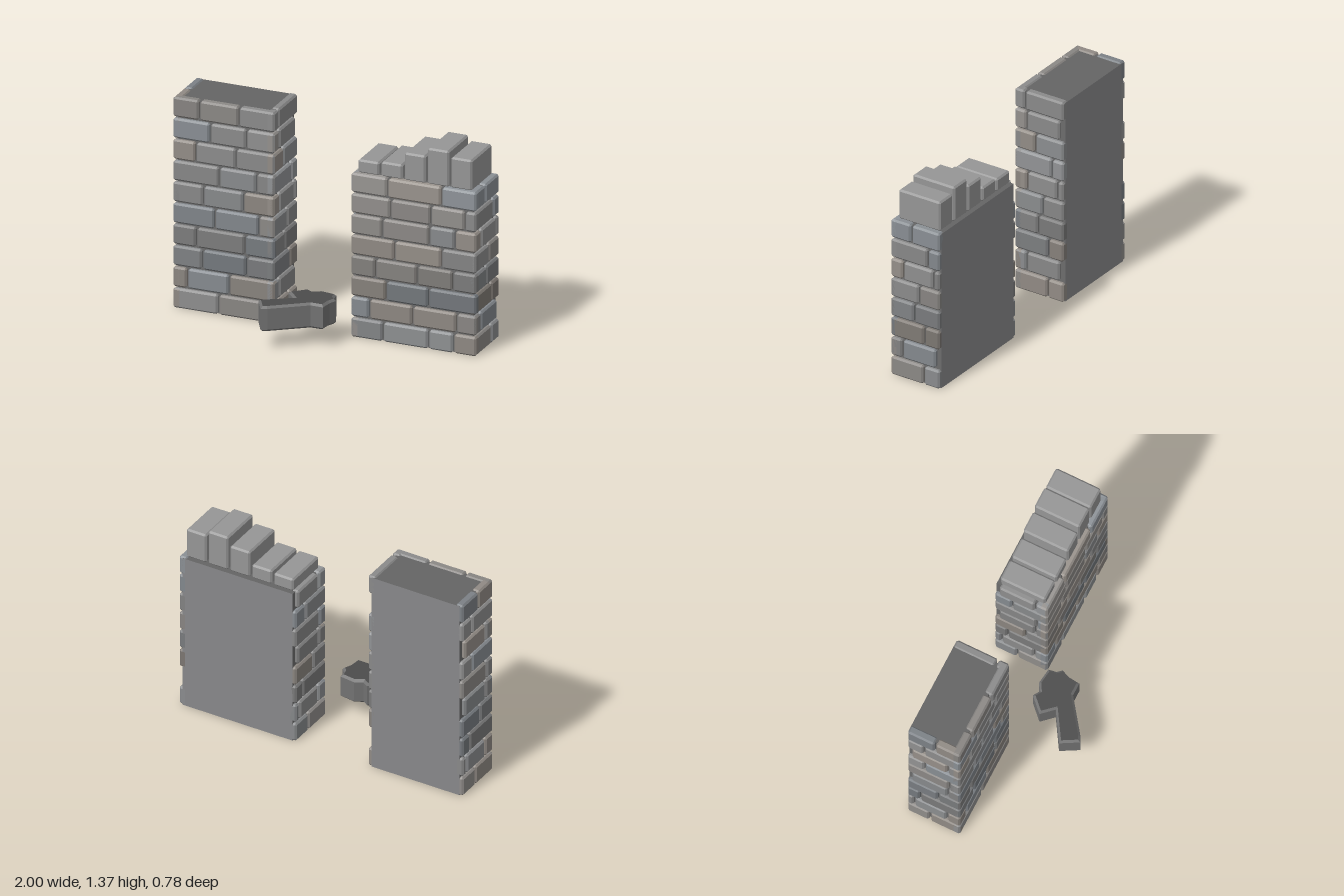
import * as THREE from 'three';
import { ConvexGeometry } from 'three/addons/geometries/ConvexGeometry.js';

const paint = (color) => new THREE.MeshStandardMaterial({ color, flatShading: true });
const groove = paint(0x6c6c6c), plain = paint(0x88888a), topShade = paint(0x646464);
const coping = paint(0x969696);
const slabFace = paint(0x4c4c4c), slabEdge = paint(0x727272);

const FRONT = -0.036, BACK = -0.39;
const BRICK_DEPTH = 0.055, INSET = 0.025, JOINT = 0.011, BEVEL = 0.011;

// Stone tints: neutral, bluish and brownish greys, with a shade per course
const tints = [0x8b8b8b, 0x8e8b88, 0x858a8f, 0x888888, 0x918b85, 0x8a8c8e];
const courseShades = [0.98, 0.97, 0.78, 0.83, 0.97, 0.98, 1.04, 1.08, 1.0, 0.95];

let seed = 7;
function random() {
  seed = (seed * 16807) % 2147483647;
  return seed / 2147483647;
}

function stone(row) {
  const tint = tints[Math.floor(random() * tints.length)];
  const material = paint(tint);
  material.color.multiplyScalar(courseShades[row] * (0.9 + 0.2 * random()));
  return material;
}

function addMesh(parent, name, geometry, material) {
  const mesh = new THREE.Mesh(geometry, material);
  mesh.name = name;
  parent.add(mesh);
  return mesh;
}

// Block with chamfered edges, given by its limits
function addBlock(parent, name, material, x0, x1, y0, y1, z0, z1) {
  const half = [(x1 - x0) / 2, (y1 - y0) / 2, (z1 - z0) / 2];
  const b = Math.min(BEVEL, ...half.map((h) => h * 0.6));
  const points = [];
  for (const sx of [-1, 1]) for (const sy of [-1, 1]) for (const sz of [-1, 1]) {
    for (let full = 0; full < 3; full++) {
      const c = half.map((h, i) => (i === full ? h : h - b));
      points.push(new THREE.Vector3(c[0] * sx, c[1] * sy, c[2] * sz));
    }
  }
  addMesh(parent, name, new ConvexGeometry(points), material)
    .position.set((x0 + x1) / 2, (y0 + y1) / 2, (z0 + z1) / 2);
}

// Mortar body, darker in the joints and on top
function addCore(parent, x0, x1, top) {
  const z1 = FRONT - INSET;
  const geometry = new THREE.BoxGeometry(x1 - x0 - 2 * INSET, top, z1 - BACK);
  addMesh(parent, 'mortarCore', geometry, [groove, groove, topShade, plain, groove, plain])
    .position.set((x0 + x1) / 2, top / 2, (z1 + BACK) / 2);
}

// Side courses from front to back: joints, then where the last brick ends
const sideCourses = [
  [-0.275, BACK], [-0.12, -0.36], [-0.28, BACK], [-0.205, BACK], [-0.24, BACK],
  [-0.125, -0.345, BACK], [-0.305, BACK], [-0.185, BACK], [-0.12, -0.36], [-0.11, BACK],
];

// Wall end with bricks on the front and both sides, plain at the back
function addPillar(parent, name, x0, x1, height, courses) {
  const pillar = new THREE.Group();
  pillar.name = name;
  parent.add(pillar);
  addCore(pillar, x0, x1, height - 0.008);

  const pitch = (height + JOINT) / courses.length;
  const g = JOINT / 2;
  courses.forEach((joints, row) => {
    const y0 = row * pitch, y1 = y0 + pitch - JOINT;
    // front bricks
    const xs = [x0 - g, ...joints, x1 + g];
    for (let i = 0; i < xs.length - 1; i++) {
      addBlock(pillar, 'frontBrick', stone(row), xs[i] + g, xs[i + 1] - g, y0, y1, FRONT - BRICK_DEPTH, FRONT);
    }
    // side bricks, the first one wrapping the corner
    for (const side of [-1, 1]) {
      const course = sideCourses[(row + (side > 0 ? 0 : 4)) % sideCourses.length];
      const zs = [FRONT + g, ...course];
      zs[zs.length - 1] -= g;
      const [a, b] = side > 0 ? [x1 - BRICK_DEPTH, x1] : [x0, x0 + BRICK_DEPTH];
      for (let i = 0; i < zs.length - 1; i++) {
        addBlock(pillar, 'sideBrick', stone(row), a, b, y0, y1, zs[i + 1] + g, zs[i] - g);
      }
    }
  });
  return pillar;
}

// Jagged stone slab, outline in x and z
function addFragment(parent) {
  const outline = [
    [-0.295, 0.28], [-0.11, 0.165], [-0.18, 0.09], [-0.09, 0], [-0.05, 0.025], [0, -0.003],
    [0.1, 0.01], [0.108, 0.06], [0.134, 0.09], [0.112, 0.14], [0.103, 0.217], [0.02, 0.217],
    [-0.195, 0.375], [-0.232, 0.392],
  ];
  const shape = new THREE.Shape(outline.map(([x, z]) => new THREE.Vector2(x, -z)));
  const bevel = 0.014, y0 = 0.122, y1 = 0.285;
  const geometry = new THREE.ExtrudeGeometry(shape, {
    depth: y1 - y0 - 2 * bevel, bevelThickness: bevel, bevelSize: bevel,
    bevelOffset: -bevel, bevelSegments: 1,
  });
  geometry.rotateX(-Math.PI / 2);
  addMesh(parent, 'stoneFragment', geometry, [slabFace, slabEdge]).position.y = y0 + bevel;
}

export function createModel() {
  seed = 7;
  const model = new THREE.Group();
  model.name = 'brokenBrickWall';

  // tall pillar, joints per course from the bottom up
  addPillar(model, 'tallPillar', -1, -0.33, 1.37, [
    [-0.7], [-0.905, -0.63], [-0.805, -0.515], [-0.845, -0.525], [-0.725, -0.435],
    [-0.8, -0.535], [-0.695, -0.45], [-0.85, -0.585], [-0.755, -0.515], [-0.825, -0.565],
  ]);

  // low pillar
  const low = addPillar(model, 'lowPillar', 0.175, 1, 1.065, [
    [0.385, 0.685, 0.85], [0.295, 0.58, 0.87], [0.405, 0.685], [0.335, 0.61, 0.845],
    [0.46, 0.77], [0.38, 0.69, 0.86], [0.435, 0.7, 0.925], [0.415, 0.77],
  ]);

  // row of upright bricks on top of the low pillar
  [1.147, 1.157, 1.24, 1.295, 1.26].forEach((top, i) => {
    const x = 0.207 + i * 0.1535;
    addBlock(low, 'copingBrick', coping, x, x + 0.14, 1.06, top, -0.37, -0.066);
  });

  addFragment(model);
  return model;
}
